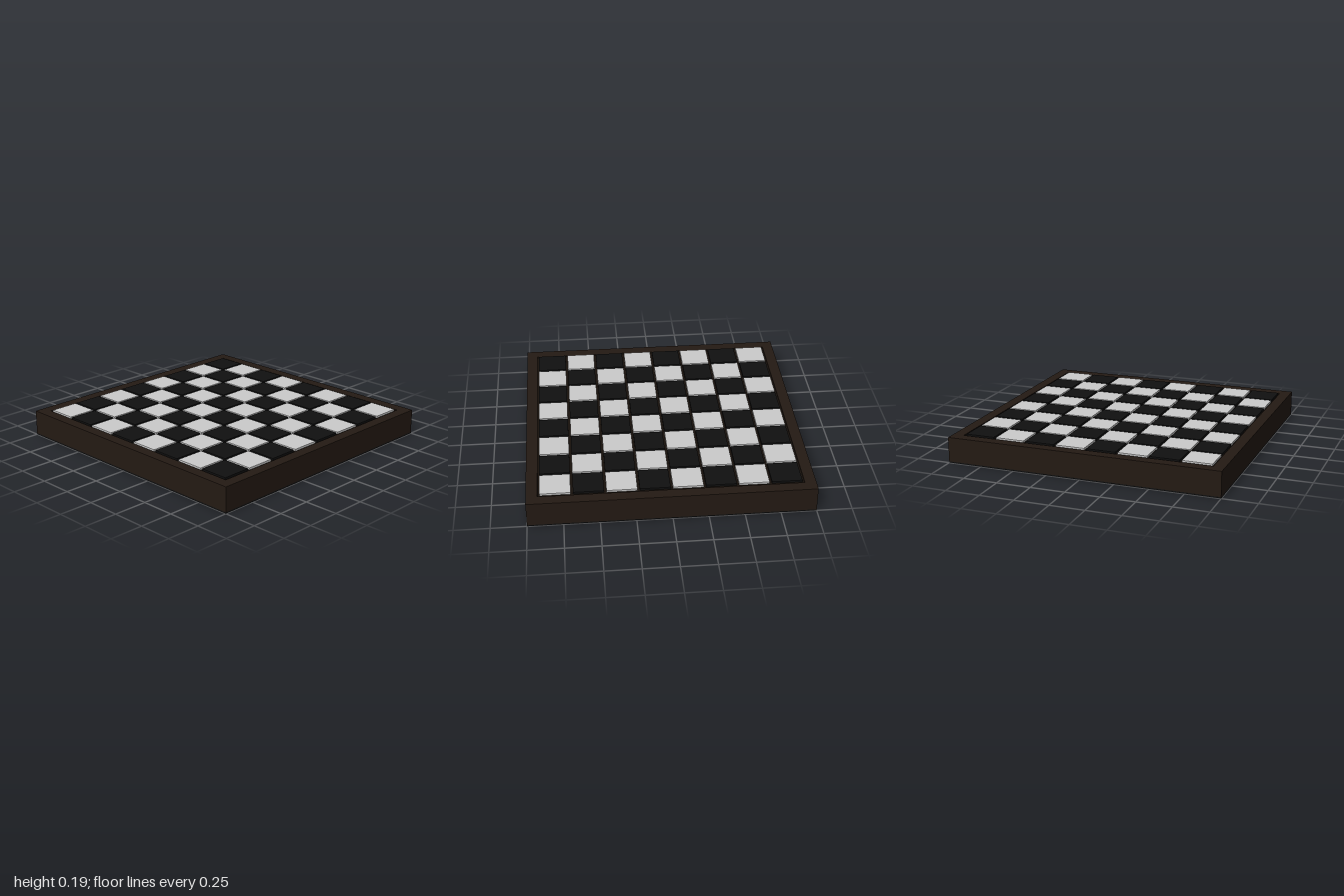
import * as THREE from 'three';

const mat = (color) => new THREE.MeshStandardMaterial({ color });

export function createModel() {
  const board = new THREE.Group();
  board.name = 'checkeredBoard';
  const wood = mat(0x241a13), groove = mat(0x17100b);
  const dark = mat(0x101010), light = mat(0xcccccc), felt = mat(0x888888);

  const addBox = (parent, name, material, w, h, d, x, y, z) => {
    const mesh = new THREE.Mesh(new THREE.BoxGeometry(w, h, d), material);
    mesh.name = name;
    mesh.position.set(x, y + h / 2, z); // y is the underside
    parent.add(mesh);
  };

  // Square outer frame with an opening for the playing field
  const square = (Type, r) => new Type([
    new THREE.Vector2(-r, -r), new THREE.Vector2(r, -r),
    new THREE.Vector2(r, r), new THREE.Vector2(-r, r),
  ]);
  const outline = square(THREE.Shape, 1);
  outline.holes.push(square(THREE.Path, 0.92));
  const frameGeo = new THREE.ExtrudeGeometry(outline, { depth: 0.178, bevelEnabled: false });
  frameGeo.rotateX(-Math.PI / 2);
  const frame = new THREE.Mesh(frameGeo, wood);
  frame.name = 'frame';
  frame.position.y = 0.01;
  board.add(frame);

  // Sunken bed under the tiles, and the dark base sheet
  addBox(board, 'bed', groove, 1.84, 0.17, 1.84, 0, 0.01, 0);
  addBox(board, 'baseSheet', dark, 2, 0.008, 2, 0, 0.002, 0);

  // Eight by eight raised tiles, alternating light and dark
  const tiles = new THREE.Group();
  tiles.name = 'tiles';
  board.add(tiles);
  const pitch = 0.2285, size = 0.212;
  for (let row = 0; row < 8; row++) {
    for (let col = 0; col < 8; col++) {
      const isLight = (row + col) % 2 === 0;
      addBox(tiles, isLight ? 'lightTile' : 'darkTile', isLight ? light : dark,
        size, 0.02, size, (col - 3.5) * pitch - 0.004, 0.175, (row - 3.5) * pitch);
    }
  }

  // Grey pads underneath, parted by narrow seams and flush with the outer edge
  const pads = new THREE.Group();
  pads.name = 'undersidePads';
  board.add(pads);
  const seam = 0.02;
  const span = (i) => {
    const a = i === 0 ? -1 : -1 + i * 0.25 + seam / 2;
    const b = i === 7 ? 1 : -1 + (i + 1) * 0.25 - seam / 2;
    return { mid: (a + b) / 2, len: b - a };
  };
  for (let row = 0; row < 8; row++) {
    for (let col = 0; col < 8; col++) {
      const sx = span(col), sz = span(row);
      addBox(pads, 'pad', felt, sx.len, 0.002, sz.len, sx.mid, 0, sz.mid);
    }
  }
  return board;
}
